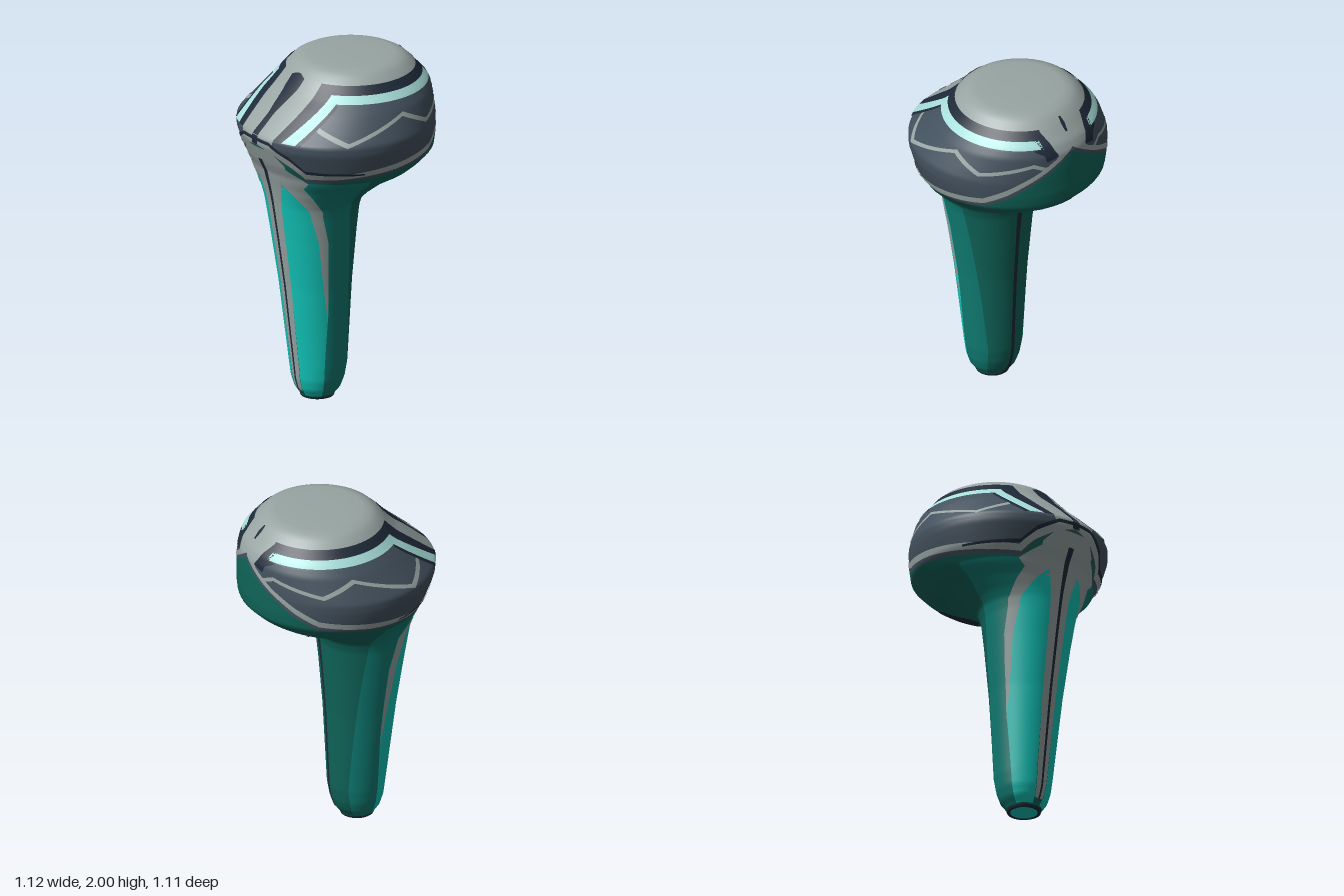
import * as THREE from 'three';
import { mergeGeometries } from 'three/addons/utils/BufferGeometryUtils.js';

const paint = (name, color) => {
  const m = new THREE.MeshStandardMaterial({ color });
  m.name = name;
  return m;
};

// Body profile: height, centre x and radius of each round section
const PROFILE = [
  [0, -0.13, 0.092], [0.02, -0.13, 0.1], [0.06, -0.127, 0.13], [0.12, -0.125, 0.15],
  [0.2, -0.123, 0.162], [0.7, -0.143, 0.205], [1.0, -0.155, 0.24], [1.15, -0.16, 0.26],
  [1.21, -0.155, 0.275], [1.26, -0.13, 0.31], [1.33, -0.078, 0.378], [1.38, -0.02, 0.45],
  [1.42, 0.005, 0.485], [1.48, 0.02, 0.53], [1.55, 0.01, 0.547], [1.6, 0, 0.556],
  [1.65, 0, 0.556], [1.7, 0.028, 0.528], [1.8, 0.08, 0.47], [1.85, 0.098, 0.43],
  [1.9, 0.1, 0.385], [1.93, 0.1, 0.36], [1.965, 0.1, 0.325],
];

function section(y) {
  let i = 1;
  while (i < PROFILE.length - 1 && PROFILE[i][0] < y) i++;
  const [y0, c0, r0] = PROFILE[i - 1], [y1, c1, r1] = PROFILE[i];
  const t = (y - y0) / (y1 - y0);
  return [c0 + (c1 - c0) * t, r0 + (r1 - r0) * t];
}

// Resample matching polylines A and B of [degrees from +x, height]
function resample(A, B) {
  const rows = [];
  for (let i = 0; i < A.length - 1; i++) {
    const span = (L) => Math.max(Math.abs(L[i + 1][0] - L[i][0]) / 3, Math.abs(L[i + 1][1] - L[i][1]) / 0.015);
    const n = Math.max(1, Math.ceil(Math.max(span(A), span(B))));
    const mix = (L, t) => [0, 1].map((k) => L[i][k] + (L[i + 1][k] - L[i][k]) * t);
    for (let j = i ? 1 : 0; j <= n; j++) rows.push([mix(A, j / n), mix(B, j / n)]);
  }
  return rows;
}

// Area of the body surface between two polylines, lifted a little, on one side
function skin(A, B, lift, side) {
  const rows = resample(A, B), pos = [], nor = [], index = [];
  const m = Math.ceil(Math.max(...rows.map(([a, b]) =>
    Math.max(Math.abs(a[0] - b[0]) / 3, Math.abs(a[1] - b[1]) / 0.013, 1))));
  for (const [a, b] of rows) {
    for (let k = 0; k <= m; k++) {
      const t = k / m, y = a[1] + (b[1] - a[1]) * t;
      const th = THREE.MathUtils.degToRad(a[0] + (b[0] - a[0]) * t);
      const [c, r] = section(y), [c0, r0] = section(y - 0.015), [c1, r1] = section(y + 0.015);
      const cos = Math.cos(th), sin = Math.sin(th) * side;
      const n = new THREE.Vector3(cos, -(r1 - r0 + (c1 - c0) * cos) / 0.03, sin).normalize();
      pos.push(c + r * cos + n.x * lift, y + n.y * lift, r * sin + n.z * lift);
      nor.push(n.x, n.y, n.z);
    }
  }
  // the turn of the outline decides the winding
  const loop = [...A, ...[...B].reverse()];
  const area = loop.reduce((s, p, i) => {
    const q = loop[(i + 1) % loop.length];
    return s + p[0] * q[1] - q[0] * p[1];
  }, 0);
  const flip = (area > 0) !== (side < 0);
  for (let i = 0; i < rows.length - 1; i++) {
    for (let k = 0; k < m; k++) {
      const p = i * (m + 1) + k, q = p + m + 1;
      if (flip) index.push(p, p + 1, q, p + 1, q + 1, q);
      else index.push(p, q, p + 1, p + 1, q, q + 1);
    }
  }
  const g = new THREE.BufferGeometry();
  g.setAttribute('position', new THREE.Float32BufferAttribute(pos, 3));
  g.setAttribute('normal', new THREE.Float32BufferAttribute(nor, 3));
  g.setIndex(index);
  return g;
}

export function createModel() {
  const grey = paint('light grey', 0x98a5a3), slate = paint('slate', 0x43515e);
  const navy = paint('navy', 0x1f2a3a), aqua = paint('pale aqua', 0xa9e0dc);
  const bright = paint('bright teal', 0x12c8bc), mid = paint('mid teal', 0x0f7c73);
  const dark = paint('dark teal', 0x0f6459);
  for (const m of [grey, slate, navy, aqua, bright, mid, dark]) m.side = THREE.DoubleSide;

  const model = new THREE.Group();
  const add = (name, mat, geo) => {
    const mesh = new THREE.Mesh(geo, mat);
    mesh.name = name;
    model.add(mesh);
    return mesh;
  };
  // mirrored area of the surface; higher layers lie on top
  const patch = (name, mat, layer, A, B) =>
    add(name, mat, mergeGeometries([1, -1].map((s) => skin(A, B, layer * 0.0025, s))));
  const atHeight = (L, y) => L.map(([a]) => [a, y]);
  const raise = (L, d) => L.map(([a, y]) => [a, y + d]);
  const atAngle = (L, a) => L.map(([, y]) => [a, y]);

  // Main shells, meeting at the slanted seam
  const seam = [[0, 1.79], [14, 1.71], [27, 1.635], [42, 1.555], [57, 1.49], [90, 1.455], [125, 1.42],
    [146, 1.41], [155, 1.49], [168, 1.56], [180, 1.59]];
  patch('headShell', slate, 0, seam, atHeight(seam, 1.926));
  patch('handleAndCup', dark, 0, atHeight(seam, 0), seam);
  const dome = [[0.363, 1.926], [0.327, 1.965], [0.29, 1.985], [0.245, 1.996], [0.12, 1.999], [0, 2]];
  add('crown', grey, new THREE.LatheGeometry(dome.map((p) => new THREE.Vector2(...p)), 96)).position.x = 0.1;

  // Foot: rim and underside
  patch('footRim', navy, 1, [[0, 0], [180, 0]], [[0, 0.012], [180, 0.012]]);
  const ring = add('footRing', navy, new THREE.RingGeometry(0.076, 0.094, 48));
  const sole = add('footSole', bright, new THREE.CircleGeometry(0.077, 48));
  for (const d of [ring, sole]) {
    d.rotation.x = Math.PI / 2;
    d.position.set(-0.13, 0, 0);
  }

  // Handle colour panels
  const panelEdge = [[112, 0.02], [113, 0.2], [105, 0.55], [105, 0.8], [106, 1.0], [115, 1.2], [146, 1.36]];
  patch('handleBrightPanel', bright, 1, panelEdge, atAngle(panelEdge, 166));
  patch('handleMidPanel', mid, 1, [...panelEdge, [146, 1.405]],
    [[55, 0.02], [51, 0.2], [58, 0.55], [64, 0.8], [69, 1.0], [75, 1.2], [98, 1.36], [102, 1.41]]);
  patch('handleTrim', grey, 2,
    [[106, 0.5], [105, 0.8], [106, 1.0], [115, 1.2], [146, 1.36], [144, 1.4]],
    [[107, 0.5], [115, 0.8], [119, 1.0], [130, 1.2], [165, 1.36], [160, 1.48]]);
  const spine = [[167, 0.05], [166, 0.6], [166, 1.2], [160, 1.38], [160, 1.5], [168, 1.58]];
  patch('handleSpine', grey, 1, spine, atAngle(spine, 180));
  patch('handleSpineLine', navy, 2, [[177.5, 0.05], [178, 1.5]], [[180, 0.05], [180, 1.5]]);

  // Dark emblem-like mark under the cup, with the line running down the handle
  const mark = [[1, 1.46], [4, 1.42], [16, 1.40], [19, 1.37], [9, 1.34], [13, 1.28], [14, 1.22], [4, 1.2],
    [3, 0.9], [3.5, 0.5], [4, 0.1], [10, 0.01]];
  patch('cupMarkAndLine', navy, 1, mark, atAngle(mark, 0));
  patch('cupSeam', slate, 1, [[56, 1.49], [42, 1.38]], [[58, 1.49], [44, 1.38]]);

  // Grey trim above the seam
  const trim = seam.slice(0, 8);
  patch('seamTrim', grey, 1, raise(trim, 0.025), raise(trim, 0.06));
  patch('seamTrimRear', grey, 1, [[146, 1.43], [155, 1.5], [168, 1.57], [180, 1.6]],
    [[146, 1.475], [155, 1.555], [168, 1.62], [180, 1.65]]);
  patch('seamLine', navy, 2, [[110, 1.475], [146, 1.475], [155, 1.55], [168, 1.615], [180, 1.62]],
    [[110, 1.485], [146, 1.495], [155, 1.575], [168, 1.635], [180, 1.64]]);

  // Rear ridge of the head
  const ridge = [[152, 1.93], [165, 1.65], [167, 1.6]];
  patch('rearRidge', grey, 1, ridge, atAngle(ridge, 180));
  const rearMark = [[178, 1.945], [171, 1.93], [172, 1.88], [175, 1.82], [177.5, 1.75], [177.5, 1.6]];
  patch('rearRidgeMark', navy, 2, rearMark, atAngle(rearMark, 180));

  // Front ridge with its small slot
  const nose = [[26, 1.93], [12, 1.8], [14, 1.75]];
  patch('noseRidge', grey, 1, nose, [[0, 1.93], [0, 1.83], [0, 1.815]]);
  patch('noseSlot', navy, 2, [[1, 1.96], [2, 1.93], [1, 1.89]], [[0, 1.96], [0, 1.93], [0, 1.89]]);

  // Bands round the crown, running down to the rear tip
  patch('crownBandDark', navy, 2, [[24, 1.93], [152, 1.93], [165, 1.65]], [[24, 1.885], [141, 1.885], [159, 1.65]]);
  patch('crownBandDarkEnd', navy, 2, [[25, 1.93], [18, 1.87], [12, 1.79]], [[32, 1.9], [26, 1.86], [20, 1.77]]);
  patch('crownBandLight', aqua, 2, [[26, 1.885], [141, 1.885], [159, 1.65]], [[23, 1.845], [136, 1.845], [150, 1.65]]);
  patch('crownBandShadowLine', navy, 2, [[136, 1.845], [150, 1.65]], [[134, 1.835], [147, 1.645]]);
  patch('crownBandLowerEnd', navy, 2, [[20, 1.845], [30, 1.845]], [[20, 1.8], [30, 1.835]]);

  // Zigzag line along the side of the head
  const zigzag = [[20, 1.715], [29, 1.745], [61, 1.685], [85, 1.765], [104, 1.7], [119, 1.65], [140, 1.715], [145, 1.74]];
  patch('sideZigzag', grey, 1, zigzag, raise(zigzag, 0.022));

  return model;
}
